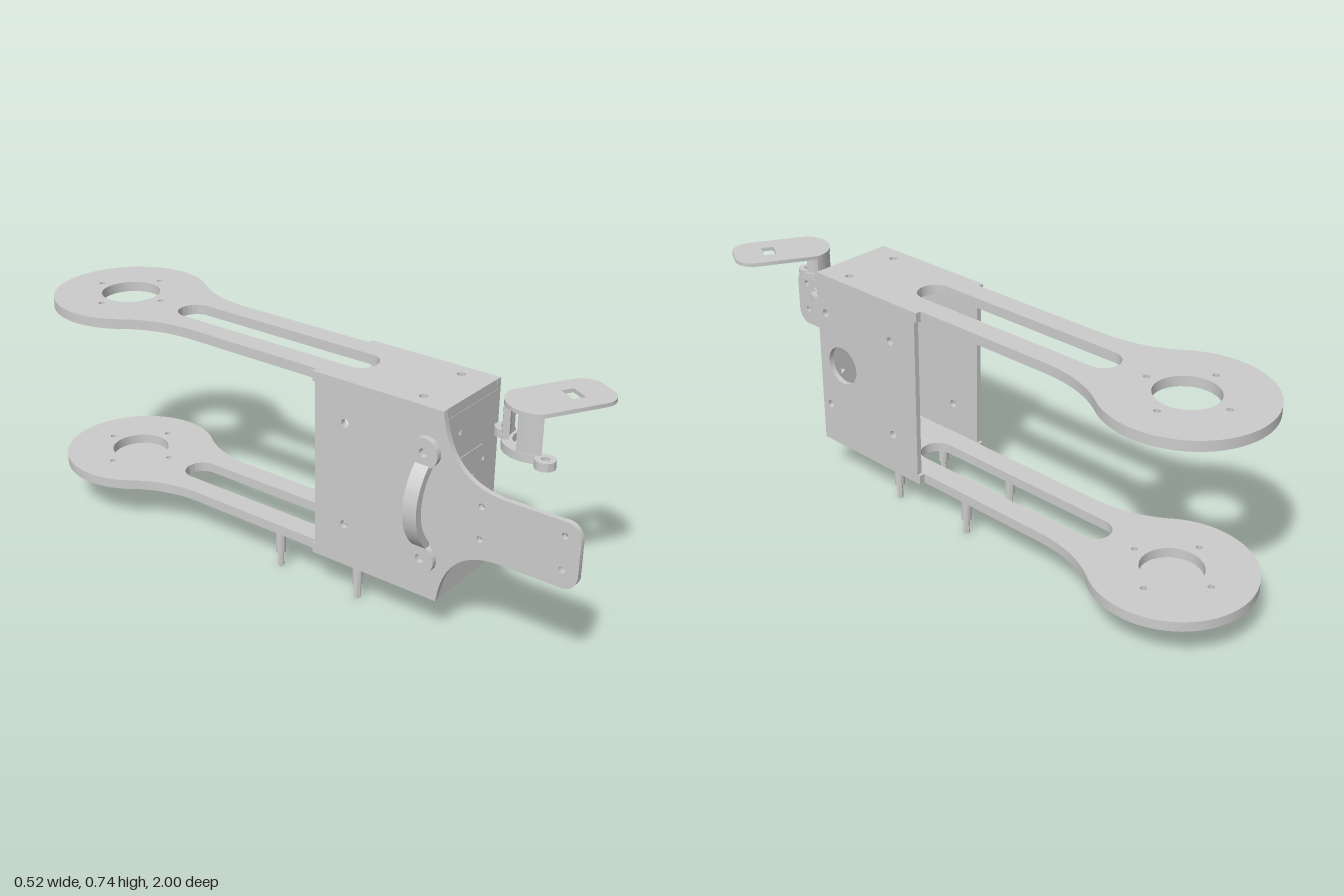
import * as THREE from 'three';
import { toCreasedNormals } from 'three/addons/utils/BufferGeometryUtils.js';

const CX = -0.011; // centre line of the arms
const mat = new THREE.MeshStandardMaterial({ color: 0xcccccc, side: THREE.DoubleSide });

function add(parent, name, geometry) {
  const mesh = new THREE.Mesh(toCreasedNormals(geometry, 0.5), mat);
  mesh.name = name;
  parent.add(mesh);
  return mesh;
}

function hole(shape, x, y, r, sides = 16, turn = 0) {
  const pts = [];
  for (let i = 0; i < sides; i++) {
    const a = turn + (i / sides) * Math.PI * 2;
    pts.push(new THREE.Vector2(x + r * Math.cos(a), y + r * Math.sin(a)));
  }
  shape.holes.push(new THREE.Path(pts));
}

function rect(x0, y0, x1, y1) {
  return new THREE.Shape([[x0, y0], [x1, y0], [x1, y1], [x0, y1]].map(p => new THREE.Vector2(...p)));
}

function disc(x, y, r) {
  const s = new THREE.Shape();
  s.absarc(x, y, r, 0, Math.PI * 2);
  return s;
}

const extrude = (shape, depth) =>
  new THREE.ExtrudeGeometry(shape, { depth, bevelEnabled: false, curveSegments: 32 });
// Shape in (x, z), thickness going down from yTop
const slab = (shape, yTop, depth) => extrude(shape, depth).rotateX(Math.PI / 2).translate(0, yTop, 0);
// Shape in (z, y), thickness going towards -x from xMax
const sidePlate = (shape, xMax, depth) => extrude(shape, depth).rotateY(-Math.PI / 2).translate(xMax, 0, 0);

function boltCircle(shape) {
  for (let i = 0; i < 4; i++) {
    const a = (i * Math.PI) / 2;
    hole(shape, CX + 0.134 * Math.cos(a), -0.75 + 0.134 * Math.sin(a), 0.01);
  }
}

// Long plate: square root, slotted neck and round end
function armShape() {
  const s = new THREE.Shape();
  const a = Math.atan2(0.15, 0.2);
  s.moveTo(-0.157, 0.566);
  s.lineTo(-0.157, 0.12);
  s.lineTo(CX - 0.127, 0.12);
  s.lineTo(CX - 0.127, -0.36);
  s.quadraticCurveTo(CX - 0.127, -0.5, CX - 0.2, -0.6);
  s.absarc(CX, -0.75, 0.25, Math.PI - a, Math.PI * 2 + a, false);
  s.quadraticCurveTo(CX + 0.127, -0.5, CX + 0.127, -0.36);
  s.lineTo(CX + 0.127, 0.12);
  s.lineTo(0.135, 0.12);
  s.lineTo(0.135, 0.566);
  const slot = new THREE.Path();
  slot.absarc(CX, 0.185, 0.055, 0, Math.PI, false);
  slot.absarc(CX, -0.465, 0.055, Math.PI, Math.PI * 2, false);
  slot.closePath();
  s.holes.push(slot);
  hole(s, CX, -0.75, 0.095, 32);
  boltCircle(s);
  for (const x of [-0.106, 0.084]) hole(s, x, 0.467, 0.013);
  return s;
}

function sideHoles(shape) {
  for (const z of [0.532, 0.238]) for (const y of [0.595, 0.265]) hole(shape, z, y, 0.013);
  return shape;
}

function buildBracket() {
  const g = new THREE.Group();
  g.name = 'clipBracket';
  const C = 0.04;
  const sector = (r0, r1, a0, a1) => {
    const s = new THREE.Shape();
    s.absarc(C, 0, r1, Math.PI + a0, Math.PI + a1, false);
    s.absarc(C, 0, r0, Math.PI + a1, Math.PI + a0, true);
    s.closePath();
    return s;
  };
  add(g, 'bracketBase', slab(sector(0.068, 0.1, -1.2, 1.2), 0.615, 0.025));
  for (const side of [-1, 1]) {
    const ear = disc(0, side * 0.11, 0.03);
    hole(ear, 0, side * 0.11, 0.012);
    add(g, 'bracketEar', slab(ear, 0.615, 0.025));
    const [a0, a1] = side > 0 ? [0.4, 1.15] : [-1.15, -0.4];
    add(g, 'bracketPost', slab(sector(0.078, 0.098, a0, a1), 0.724, 0.11));
  }
  // Top tongue with rounded tip and rectangular window
  const t = new THREE.Shape();
  t.absarc(C, 0, 0.098, Math.PI + 1.12, Math.PI - 1.12, true);
  t.lineTo(0.2, 0.088);
  t.quadraticCurveTo(0.245, 0.08, 0.255, 0.035);
  t.lineTo(0.255, -0.035);
  t.quadraticCurveTo(0.245, -0.08, 0.2, -0.088);
  t.closePath();
  t.holes.push(rect(0.122, -0.031, 0.162, 0.031));
  add(g, 'bracketTongue', slab(t, 0.736, 0.012));
  g.position.set(0.0185, 0, 0.72);
  g.rotation.y = -Math.PI / 6;
  return g;
}

export function createModel() {
  const model = new THREE.Group();
  model.name = 'armAssembly';

  // Upper and lower arms, and the cap under the lower one
  add(model, 'upperArm', slab(armShape(), 0.727, 0.032));
  add(model, 'lowerArm', slab(armShape(), 0.16, 0.032));
  const cap = disc(CX, -0.75, 0.157);
  boltCircle(cap);
  add(model, 'lowerCap', slab(cap, 0.128, 0.011));

  // Left wall with round opening
  const left = sideHoles(rect(0.13, 0.128, 0.567, 0.727));
  hole(left, 0.463, 0.43, 0.064, 32);
  add(model, 'leftWall', sidePlate(left, 0.135, 0.017));

  // Right wall with flared front tongue
  const right = new THREE.Shape();
  right.moveTo(0.13, 0.128);
  right.lineTo(0.567, 0.128);
  right.quadraticCurveTo(0.59, 0.325, 0.77, 0.325);
  right.lineTo(0.96, 0.325);
  right.quadraticCurveTo(0.99, 0.33, 1, 0.365);
  right.lineTo(1, 0.485);
  right.quadraticCurveTo(0.99, 0.52, 0.96, 0.525);
  right.lineTo(0.77, 0.525);
  right.quadraticCurveTo(0.59, 0.53, 0.567, 0.727);
  right.lineTo(0.13, 0.727);
  sideHoles(right);
  for (const z of [0.953, 0.7]) for (const y of [0.482, 0.38]) hole(right, z, y, 0.01);
  add(model, 'rightWall', sidePlate(right, -0.14, 0.017));

  // Front panel with fixing holes and vent slit
  const front = rect(-0.14, 0.16, 0.118, 0.695);
  hole(front, CX, 0.43, 0.047, 8, 0.2);
  for (const [x, y] of [[-0.085, 0.5], [0.062, 0.5], [-0.085, 0.355], [0.062, 0.355], [-0.07, 0.63]])
    hole(front, x, y, 0.011, 3, 1);
  for (const x of [-0.062, 0.042]) hole(front, x, 0.223, 0.015, 5, 0.3);
  front.holes.push(rect(-0.07, 0.549, 0.054, 0.551));
  add(model, 'frontPanel', extrude(front, 0.017).translate(0, 0, 0.55));

  // Bushing in the front panel with its inner tube
  const nut = new THREE.Shape();
  for (let i = 0; i < 8; i++) {
    const a = 0.2 + (i * Math.PI) / 4;
    nut[i ? 'lineTo' : 'moveTo'](CX + 0.048 * Math.cos(a), 0.43 + 0.048 * Math.sin(a));
  }
  hole(nut, CX, 0.43, 0.025, 20);
  add(model, 'bushing', extrude(nut, 0.03).translate(0, 0, 0.54));
  const tube = disc(CX, 0.43, 0.028);
  hole(tube, CX, 0.43, 0.024, 20);
  add(model, 'bushingTube', extrude(tube, 0.08).translate(0, 0, 0.46));

  // Curved grab handle with two mounting pads
  const grip = new THREE.Shape();
  grip.moveTo(-0.157, 0.575);
  grip.bezierCurveTo(-0.255, 0.5, -0.255, 0.36, -0.157, 0.285);
  grip.lineTo(-0.157, 0.315);
  grip.bezierCurveTo(-0.222, 0.38, -0.222, 0.48, -0.157, 0.545);
  add(model, 'handleGrip', extrude(grip, 0.046).translate(0, 0, 0.492));
  for (const y of [0.595, 0.26]) {
    const pad = disc(0.518, y, 0.046);
    hole(pad, 0.518, y, 0.014);
    add(model, 'handlePad', sidePlate(pad, -0.157, 0.018));
  }

  // Four stepped pins below the lower arm
  for (const x of [-0.114, 0.091]) for (const z of [0.26, -0.04]) {
    add(model, 'pinSleeve', new THREE.CylinderGeometry(0.016, 0.016, 0.08, 16).translate(x, 0.091, z));
    add(model, 'pinTip', new THREE.CylinderGeometry(0.009, 0.011, 0.053, 6).translate(x, 0.0265, z));
  }

  model.add(buildBracket());
  return model;
}
